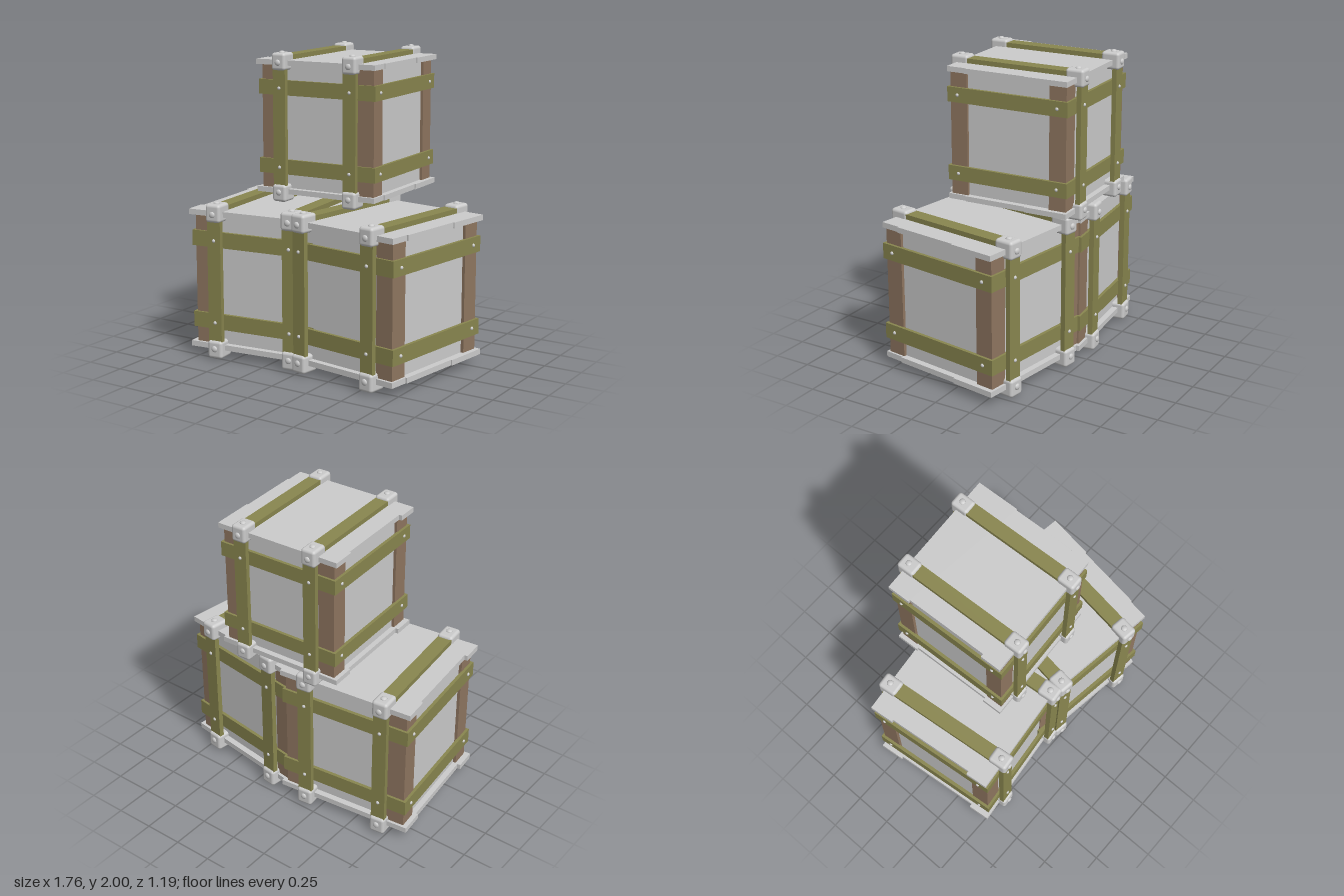
import * as THREE from 'three';
import { RoundedBoxGeometry } from 'three/addons/geometries/RoundedBoxGeometry.js';

const grey = new THREE.MeshStandardMaterial({ color: 0xcccccc });
const olive = new THREE.MeshStandardMaterial({ color: 0x89864f });
const brown = new THREE.MeshStandardMaterial({ color: 0x8f7660 });
const SIDES = [-1, 1];

function add(group, name, geometry, material, x = 0, y = 0, z = 0) {
  const mesh = new THREE.Mesh(geometry, material);
  mesh.name = name;
  mesh.position.set(x, y, z);
  group.add(mesh);
  return mesh;
}

function rectangle(path, a, b) {
  path.moveTo(-a, -b);
  path.lineTo(a, -b);
  path.lineTo(a, b);
  path.lineTo(-a, b);
  path.closePath();
  return path;
}

function extrudeCentred(shape, depth) {
  return new THREE.ExtrudeGeometry(shape, { depth, bevelEnabled: false }).translate(0, 0, -depth / 2);
}

// Closed rectangular hoop, a and b are outer half sizes
function hoop(a, b, thickness, width) {
  const shape = rectangle(new THREE.Shape(), a, b);
  shape.holes.push(rectangle(new THREE.Path(), a - thickness, b - thickness));
  return extrudeCentred(shape, width);
}

// Lid outline with unevenly cut board ends on the left and right
const lidOutline = [
  [-0.46, -0.445], [0.462, -0.445], [0.462, -0.14], [0.453, -0.14],
  [0.453, 0.31], [0.444, 0.31], [0.444, 0.445], [-0.468, 0.445],
  [-0.468, 0.3], [-0.446, 0.3], [-0.446, -0.283], [-0.46, -0.283],
];
const lidGeometry = extrudeCentred(
  new THREE.Shape(lidOutline.map(([x, z]) => new THREE.Vector2(x, z))), 0.036
).rotateX(Math.PI / 2);
const strapGeometry = hoop(0.475, 0.49, 0.033, 0.095).rotateY(Math.PI / 2);
const bandGeometry = hoop(0.448, 0.443, 0.022, 0.102).rotateX(Math.PI / 2);
const capGeometry = new RoundedBoxGeometry(0.106, 0.118, 0.13, 3, 0.02);
const postGeometry = new THREE.BoxGeometry(0.122, 0.86, 0.122);
const boltGeometry = new THREE.SphereGeometry(1, 14, 5, 0, Math.PI * 2, 0, Math.PI / 2);
const up = new THREE.Vector3(0, 1, 0);

// Domed bolt facing along the normal
function bolt(group, name, radius, height, position, normal) {
  const mesh = add(group, name, boltGeometry, grey, ...position);
  mesh.scale.set(radius, height, radius);
  mesh.quaternion.setFromUnitVectors(up, new THREE.Vector3(...normal));
}

function createCrate(name) {
  const crate = new THREE.Group();
  crate.name = name;

  // Grey panels and the lid and base boards
  add(crate, 'panels', new THREE.BoxGeometry(0.82, 0.86, 0.81), grey);
  add(crate, 'lid', lidGeometry, grey, 0, 0.44, 0);
  add(crate, 'base', lidGeometry, grey, 0, -0.44, 0);

  for (const sx of SIDES) {
    // Upright hoops over the lid and base
    add(crate, 'strap', strapGeometry, olive, sx * 0.27, 0, 0);

    for (const sz of SIDES) {
      add(crate, 'cornerPost', postGeometry, brown, sx * 0.369, 0, sz * 0.366);

      for (const sy of SIDES) {
        // Metal cap on each strap corner, with a bolt on both outer faces
        add(crate, 'strapCap', capGeometry, grey, sx * 0.27, sy * 0.449, sz * 0.425);
        bolt(crate, 'capBolt', 0.021, 0.012, [sx * 0.27, sy * 0.508, sz * 0.43], [0, sy, 0]);
        bolt(crate, 'capBolt', 0.021, 0.012, [sx * 0.27, sy * 0.443, sz * 0.49], [0, 0, sz]);

        // Small rivets where bands meet straps and posts
        bolt(crate, 'rivet', 0.012, 0.01, [sx * 0.27, sy * 0.271, sz * 0.475], [0, 0, sz]);
        bolt(crate, 'rivet', 0.012, 0.01, [sx * 0.448, sy * 0.271, sz * 0.367], [sx, 0, 0]);
      }
    }
  }

  // Level bands around the four walls
  for (const sy of SIDES) add(crate, 'band', bandGeometry, olive, 0, sy * 0.271, 0);
  return crate;
}

export function createModel() {
  const model = new THREE.Group();
  model.name = 'crateStack';

  // Name, centre, turn about the upright axis, size
  const crates = [
    ['lowerRightCrate', [-0.378, 0.522, 0.03], 0.106, 1],
    ['lowerLeftCrate', [0.357, 0.522, 0.054], -0.14, 1],
    ['upperCrate', [0, 1.522, -0.126], 0.052, 0.92],
  ];
  for (const [name, position, turn, size] of crates) {
    const crate = createCrate(name);
    crate.position.set(...position);
    crate.rotation.y = turn;
    crate.scale.setScalar(size);
    model.add(crate);
  }
  return model;
}
